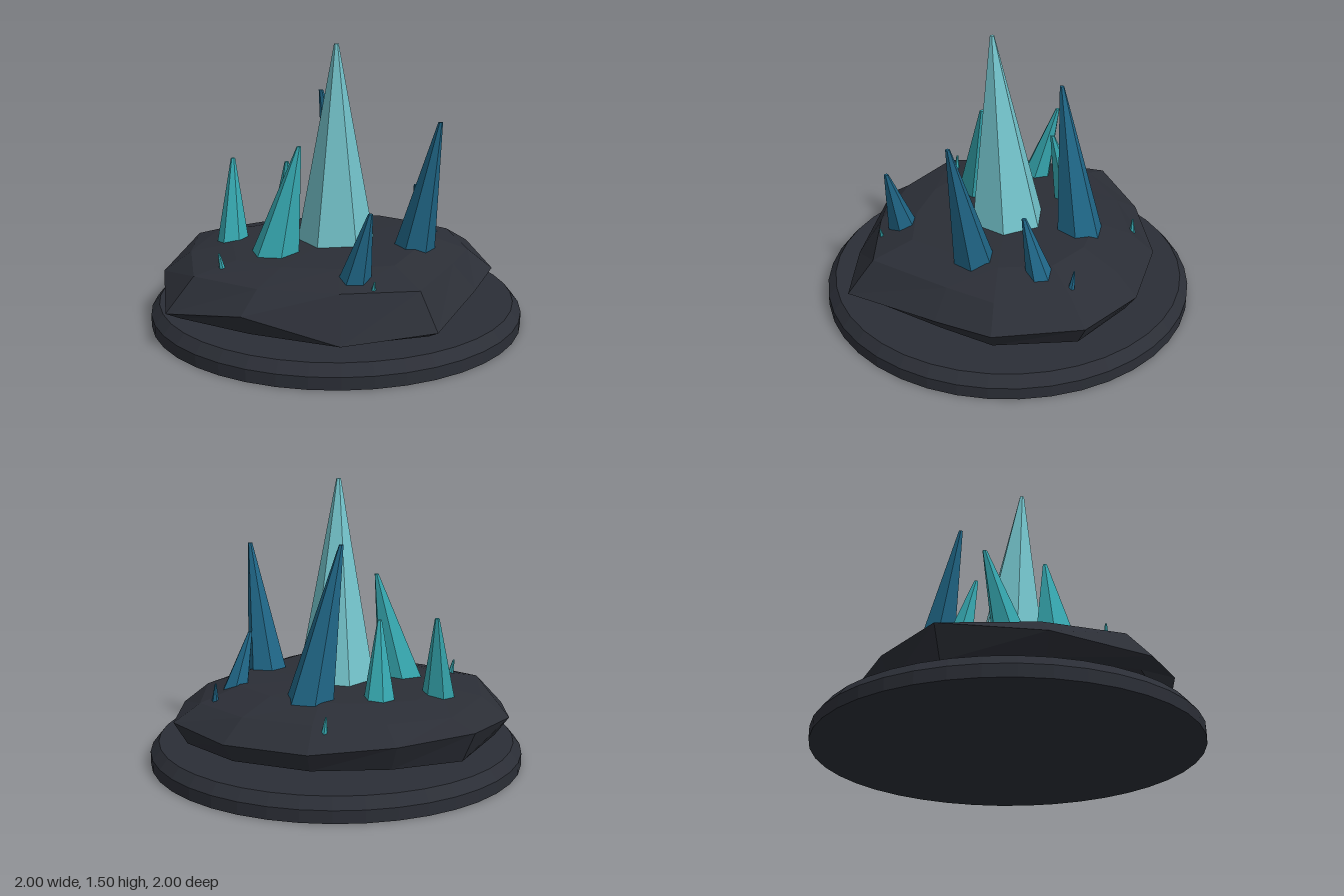
import * as THREE from 'three';

const flat = (color) => new THREE.MeshStandardMaterial({ color, flatShading: true });
const STONE = flat(0x2b2e36);
const PALE = flat(0x74c4cc);
const TEAL = flat(0x35a5ad);
const BLUE = flat(0x1f6585);

function add(group, name, geometry, material) {
  const mesh = new THREE.Mesh(geometry, material);
  mesh.name = name;
  group.add(mesh);
  return mesh;
}

// Faceted boulder: an irregular rim, repeated at several scales and heights
function rockGeometry() {
  const rim = [
    [0, 0.26, -0.8], [0.44, 0.26, -0.71], [0.77, 0.28, -0.46], [0.85, 0.26, 0],
    [0.72, 0.24, 0.3], [0.47, 0.2, 0.8], [0, 0.15, 0.84], [-0.48, 0.27, 0.74],
    [-0.87, 0.2, 0.5], [-0.93, 0.26, 0], [-0.78, 0.32, -0.5], [-0.42, 0.29, -0.7],
  ];
  // scale and height of each ring; null keeps the rim's own heights
  const rings = [[0, 0.115], [0.74, 0.115], [0.92, 0.16], [1, null], [0.84, 0.37], [0.6, 0.43], [0, 0.447]];
  const positions = [];
  const index = [];
  const n = rim.length;
  rings.forEach(([s, h], r) => {
    rim.forEach(([x, y, z], i) => {
      let height = h === null ? y : h;
      if (r === 2) height = Math.min(h, y - 0.02);
      if (r === 5) height += 0.018 * x;
      positions.push(x * s, height, z * s);
      if (r === 0) return;
      const a = (r - 1) * n + i, b = (r - 1) * n + (i + 1) % n;
      const c = a + n, d = b + n;
      if (r > 1) index.push(a, c, b);
      if (r < rings.length - 1) index.push(b, c, d);
    });
  });
  const geo = new THREE.BufferGeometry();
  geo.setAttribute('position', new THREE.Float32BufferAttribute(positions, 3));
  geo.setIndex(index);
  geo.computeVertexNormals();
  return geo;
}

// Six-sided spike with a flat base, sheared so its tip lands on the given point
function crystalGeometry([bx, by, bz], [tx, ty, tz], radius, turn) {
  const sink = 0.03;
  const height = ty - by + sink;
  const tip = Math.min(0.012, radius * 0.2);
  const geo = new THREE.CylinderGeometry(tip, radius, height, 6);
  geo.rotateY(turn);
  geo.translate(0, height / 2, 0);
  const p = geo.attributes.position;
  for (let i = 0; i < p.count; i++) {
    const t = p.getY(i) / height;
    p.setXYZ(i, p.getX(i) + bx + (tx - bx) * t, p.getY(i) + by - sink, p.getZ(i) + bz + (tz - bz) * t);
  }
  geo.computeVertexNormals();
  return geo;
}

export function createModel() {
  const model = new THREE.Group();
  model.name = 'crystalCluster';

  // Round plinth with a bevelled upper edge
  const plinth = new THREE.Group();
  plinth.name = 'plinth';
  add(plinth, 'plinthFoot', new THREE.CylinderGeometry(1, 1, 0.065, 40), STONE).position.y = 0.0325;
  add(plinth, 'plinthBevel', new THREE.CylinderGeometry(0.955, 1, 0.055, 40), STONE).position.y = 0.0925;
  model.add(plinth);

  add(model, 'rock', rockGeometry(), STONE);

  // name, base, tip, base radius, turn, material
  const crystals = [
    ['mainCrystal', [0, 0.43, 0], [0, 1.5, 0.08], 0.212, Math.PI / 2, PALE],
    ['backCrystal', [0.07, 0.42, -0.4], [-0.075, 1.2, -0.275], 0.13, 0.4, BLUE],
    ['backRightCrystal', [-0.28, 0.41, -0.325], [-0.265, 0.81, -0.22], 0.088, 0.4, TEAL],
    ['frontRightCrystal', [-0.335, 0.39, 0.19], [-0.195, 0.98, 0.16], 0.14, 0.25, TEAL],
    ['rightCrystal', [-0.56, 0.39, -0.1], [-0.56, 0.83, -0.23], 0.092, 0.45, TEAL],
    ['backLeftCrystal', [0.51, 0.4, -0.225], [0.44, 0.7, -0.125], 0.08, 0.2, BLUE],
    ['frontLeftCrystal', [0.405, 0.42, 0.13], [0.525, 1.12, 0.24], 0.115, 0.5, BLUE],
    ['frontCrystal', [0.07, 0.39, 0.56], [0.15, 0.75, 0.63], 0.09, 0.5, BLUE],
    ['rightShard', [-0.575, 0.35, 0.365], [-0.605, 0.47, 0.36], 0.027, 0.3, TEAL],
    ['backShard', [-0.06, 0.35, -0.68], [-0.07, 0.42, -0.68], 0.02, 0.1, TEAL],
    ['leftShard', [0.57, 0.385, -0.375], [0.56, 0.48, -0.39], 0.022, 0.6, BLUE],
    ['frontShard', [0.16, 0.355, 0.66], [0.17, 0.42, 0.675], 0.02, 0.2, TEAL],
  ];
  for (const [name, base, tip, radius, turn, material] of crystals) {
    add(model, name, crystalGeometry(base, tip, radius, turn), material);
  }
  return model;
}
